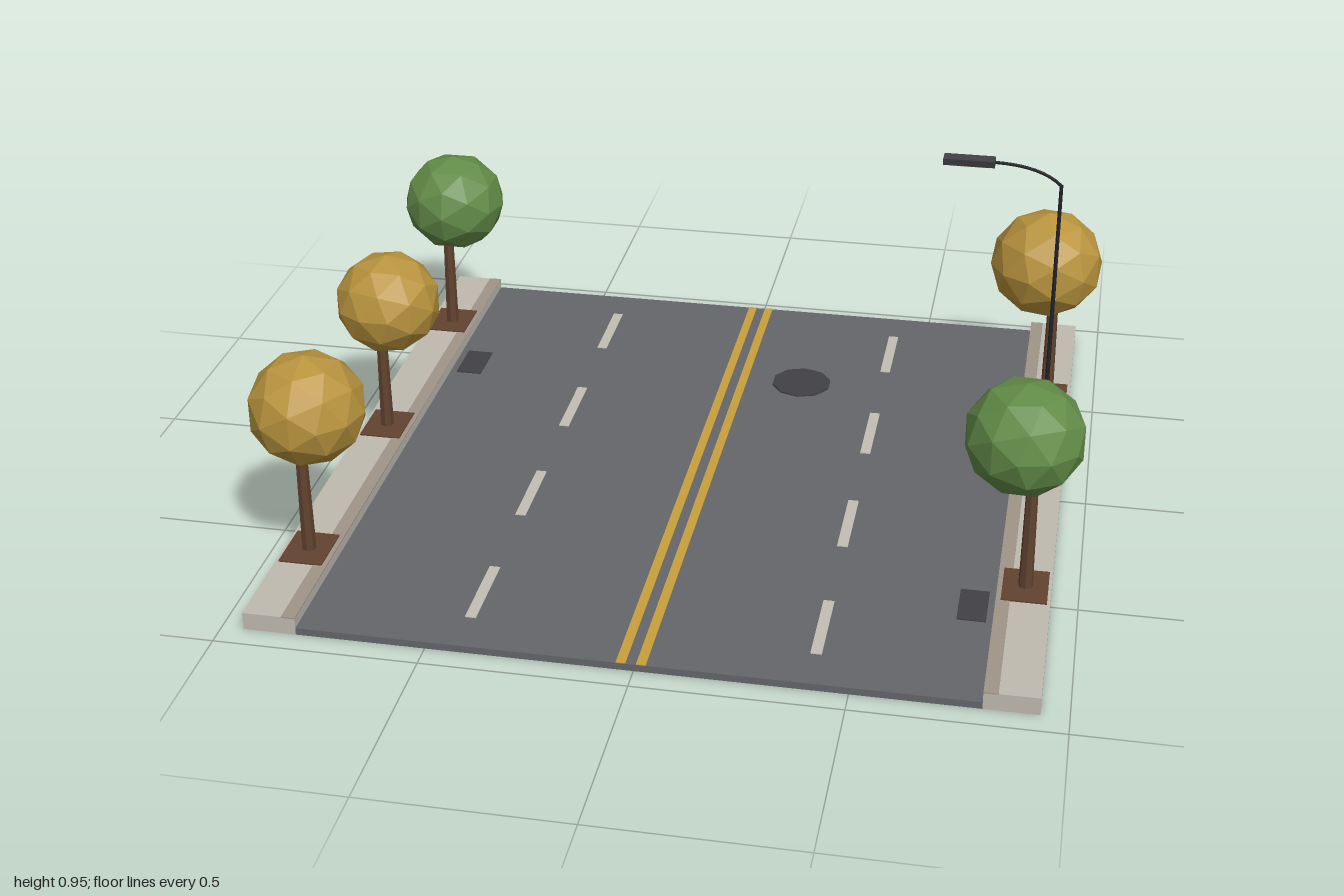
import * as THREE from 'three';

const mat = (name, color, extra = {}) => {
  const m = new THREE.MeshStandardMaterial({ color, ...extra });
  m.name = name;
  return m;
};

export function createModel() {
  const flat = { flatShading: true };
  const M = {
    asphalt: mat('asphalt', 0x64666a),
    concrete: mat('concrete', 0xc0bab0, { side: THREE.DoubleSide }),
    curb: mat('curb stone', 0x9f9588),
    white: mat('white paint', 0xc4bfb3),
    yellow: mat('yellow paint', 0xc8a03c),
    iron: mat('dark iron', 0x404146),
    pole: mat('black metal', 0x222327),
    bark: mat('bark', 0x62432f, flat),
    green: mat('green leaves', 0x628c48, flat),
    gold: mat('golden leaves', 0xb9943e, flat),
  };
  const model = new THREE.Group();
  model.name = 'streetSection';

  const add = (name, geo, material, x, y, z, parent = model) => {
    const mesh = new THREE.Mesh(geo, material);
    mesh.name = name;
    mesh.position.set(x, y, z);
    parent.add(mesh);
    return mesh;
  };
  // Box placed by its bottom height
  const box = (name, material, w, h, d, x, y, z, parent) =>
    add(name, new THREE.BoxGeometry(w, h, d), material, x, y + h / 2, z, parent);

  const LEN = 1.88, ROAD = 0.018, WALK = 0.045, CX = -0.006;

  // Roadway
  box('road', M.asphalt, 1.62, ROAD, LEN, CX, 0, 0);

  // Painted lines
  for (const s of [-1, 1]) {
    box('centreLine', M.yellow, 0.023, 0.003, LEN, CX + s * 0.024, ROAD - 0.001, 0);
    for (const z of [-0.71, -0.237, 0.237, 0.71])
      box('laneDash', M.white, 0.027, 0.003, 0.225, CX + s * 0.415, ROAD - 0.001, z);
  }

  // Pavements: hollow slabs, open underneath, with a curb strip along the road
  for (const s of [-1, 1]) {
    const slab = new THREE.BoxGeometry(0.13, WALK, LEN);
    const idx = Array.from(slab.index.array);
    idx.splice(18, 6); // drop the bottom face
    slab.setIndex(idx);
    slab.clearGroups();
    add('sidewalk', slab, M.concrete, CX + s * 0.875, WALK / 2, 0);
    box('curb', M.curb, 0.034, 0.003, LEN, CX + s * 0.827, WALK - 0.002, 0);
  }

  // Drains and manhole
  box('drainGrate', M.iron, 0.07, 0.004, 0.13, -0.762, ROAD - 0.001, -0.443);
  box('drainGrate', M.iron, 0.07, 0.004, 0.13, 0.752, ROAD - 0.001, 0.555);
  add('manholeCover', new THREE.CylinderGeometry(0.083, 0.083, 0.005, 10), M.iron,
    0.183, ROAD + 0.0015, -0.49);

  // Trees: side, z, canopy height, canopy radius, leaf colour
  const trees = [
    [-1, -0.64, 0.435, 0.143, M.green],
    [-1, 0, 0.421, 0.139, M.gold],
    [-1, 0.64, 0.447, 0.145, M.gold],
    [1, -0.49, 0.453, 0.151, M.gold],
    [1, 0.49, 0.458, 0.146, M.green],
  ];
  trees.forEach(([s, z, y, r, leaves], i) => {
    const tree = new THREE.Group();
    tree.name = 'tree';
    tree.position.set(CX + s * 0.877, 0, z);
    model.add(tree);
    box('treePit', M.bark, 0.11, 0.012, 0.14, 0, WALK - 0.008, 0, tree);
    const h = y - 0.08 - WALK;
    add('trunk', new THREE.CylinderGeometry(0.014, 0.018, h, 7), M.bark, 0, WALK + h / 2, 0, tree);
    const canopy = add('canopy', new THREE.IcosahedronGeometry(r, 1), leaves, -s * 0.026, y, 0, tree);
    canopy.scale.y = 0.97;
    canopy.rotation.y = i * 1.3;
  });

  // Street lamp
  const lamp = new THREE.Group();
  lamp.name = 'streetLamp';
  model.add(lamp);
  const px = 0.878, top = 0.89;
  add('lampBase', new THREE.CylinderGeometry(0.01, 0.012, 0.02, 8), M.pole, px, WALK + 0.01, 0, lamp);
  add('lampPole', new THREE.CylinderGeometry(0.0045, 0.006, top - WALK, 8), M.pole,
    px, (top + WALK) / 2, 0, lamp);
  const arm = new THREE.CubicBezierCurve3(
    new THREE.Vector3(px, top - 0.002, 0), new THREE.Vector3(0.845, 0.92, 0),
    new THREE.Vector3(0.79, 0.938, 0), new THREE.Vector3(0.705, 0.938, 0));
  add('lampArm', new THREE.TubeGeometry(arm, 10, 0.004, 6), M.pole, 0, 0, 0, lamp);
  // Lamp head narrows towards the bottom
  const head = new THREE.BoxGeometry(0.126, 0.018, 0.038);
  const p = head.attributes.position;
  for (let i = 0; i < p.count; i++) if (p.getY(i) < 0) p.setZ(i, p.getZ(i) * 0.75);
  head.computeVertexNormals();
  add('lampHead', head, M.iron, 0.652, 0.937, 0, lamp);
  box('lampLens', M.yellow, 0.1, 0.003, 0.022, 0.652, 0.926, 0, lamp);

  return model;
}
